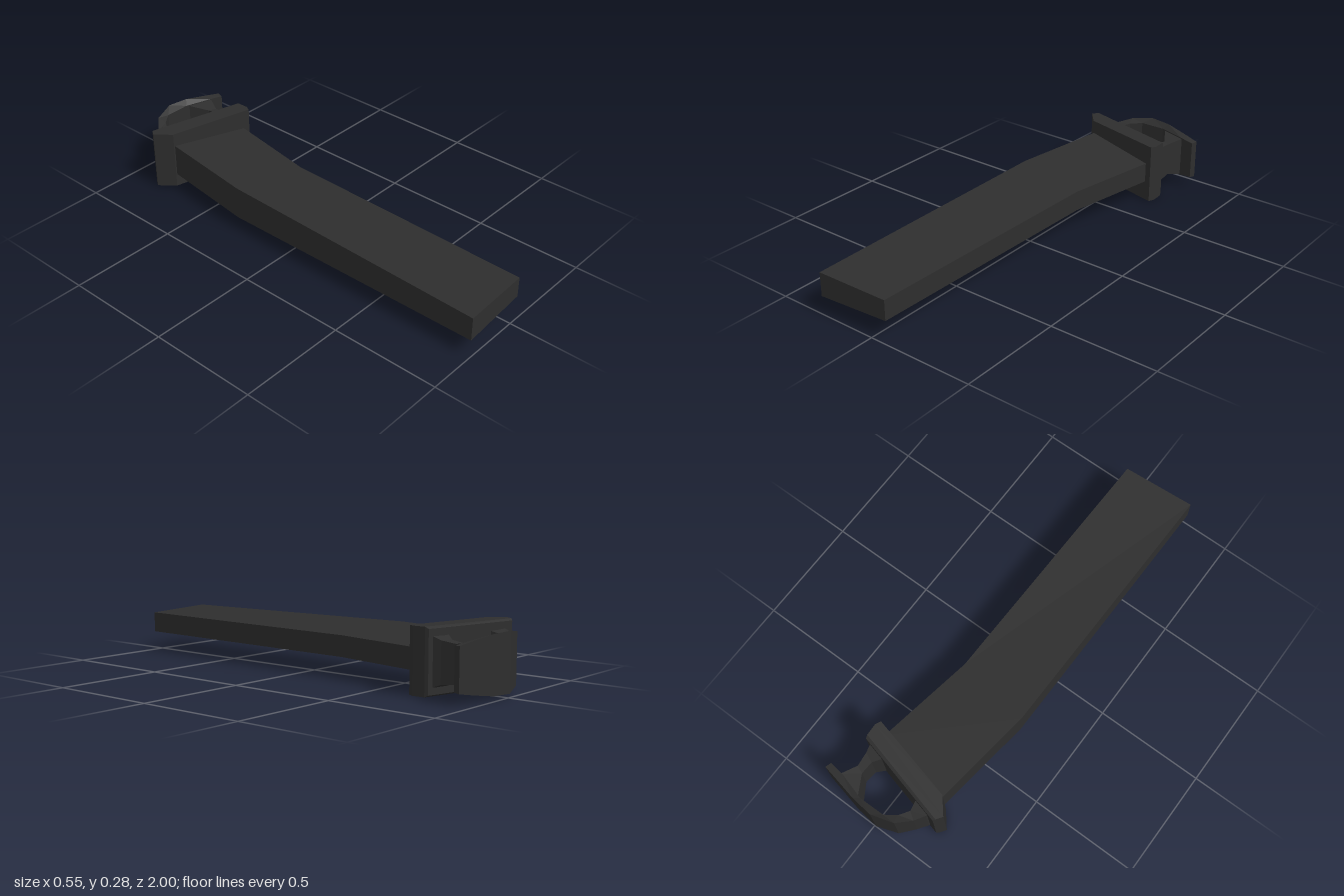
import * as THREE from 'three';

const MID = 0.14; // height of the horizontal symmetry plane

// Loft through four-cornered sections: [ax, az, halfHeightA, bx, bz, halfHeightB]
function loft(sections) {
  const rings = sections.map(([ax, az, ha, bx, bz, hb]) => [
    [ax, MID + ha, az], [bx, MID + hb, bz], [bx, MID - hb, bz], [ax, MID - ha, az],
  ]);
  const pos = [];
  const quad = (a, b, c, d) => pos.push(...a, ...b, ...c, ...a, ...c, ...d);
  for (let i = 0; i < rings.length - 1; i++) {
    for (let j = 0; j < 4; j++) {
      const k = (j + 1) % 4;
      quad(rings[i][j], rings[i][k], rings[i + 1][k], rings[i + 1][j]);
    }
  }
  const s = rings[0], e = rings[rings.length - 1];
  quad(s[0], s[3], s[2], s[1]);
  quad(e[0], e[1], e[2], e[3]);
  const geo = new THREE.BufferGeometry();
  geo.setAttribute('position', new THREE.Float32BufferAttribute(pos, 3));
  geo.computeVertexNormals();
  return geo;
}

export function createModel() {
  const group = new THREE.Group();
  const black = new THREE.MeshStandardMaterial({ color: 0x2e2e2e });
  black.name = 'matte black';
  const add = (name, sections) => {
    const mesh = new THREE.Mesh(loft(sections), black);
    mesh.name = name;
    group.add(mesh);
  };

  // Long bent body, thick along its left edge and thin along the other
  add('body', [
    [-0.275, 0.998, 0.055, 0.065, 0.982, 0.047],
    [-0.26, -0.29, 0.077, 0.09, -0.23, 0.047],
    [-0.195, -0.78, 0.077, 0.17, -0.69, 0.047],
  ]);

  // Slanted collar plate with chamfered ends and back edge
  add('collar', [
    [-0.203, -0.76, 0.14, 0.197, -0.665, 0.14],
    [-0.262, -0.83, 0.14, 0.209, -0.69, 0.14],
    [-0.243, -0.858, 0.14, 0.207, -0.745, 0.14],
    [-0.235, -0.868, 0.132, 0.203, -0.76, 0.132],
  ]);

  // Curved arm that rises from the collar and ends in a free tip
  add('clipArm', [
    [-0.205, -0.83, 0.11, -0.115, -0.81, 0.105],
    [-0.195, -0.865, 0.1, -0.122, -0.85, 0.095],
    [-0.165, -0.91, 0.092, -0.128, -0.885, 0.088],
    [-0.11, -0.968, 0.11, -0.1, -0.93, 0.095],
    [-0.01, -1.0, 0.125, -0.05, -0.966, 0.1],
    [0.09, -0.989, 0.122, 0.07, -0.968, 0.1],
    [0.2, -0.966, 0.105, 0.195, -0.933, 0.098],
    [0.273, -0.951, 0.092, 0.265, -0.923, 0.09],
  ]);

  // Waisted post joining the arm to the other side of the collar
  add('clipPost', [
    [0.085, -0.765, 0.11, 0.185, -0.745, 0.11],
    [0.13, -0.82, 0.088, 0.175, -0.8, 0.088],
    [0.135, -0.88, 0.08, 0.17, -0.865, 0.08],
    [0.085, -0.965, 0.095, 0.205, -0.94, 0.095],
  ]);

  return group;
}
